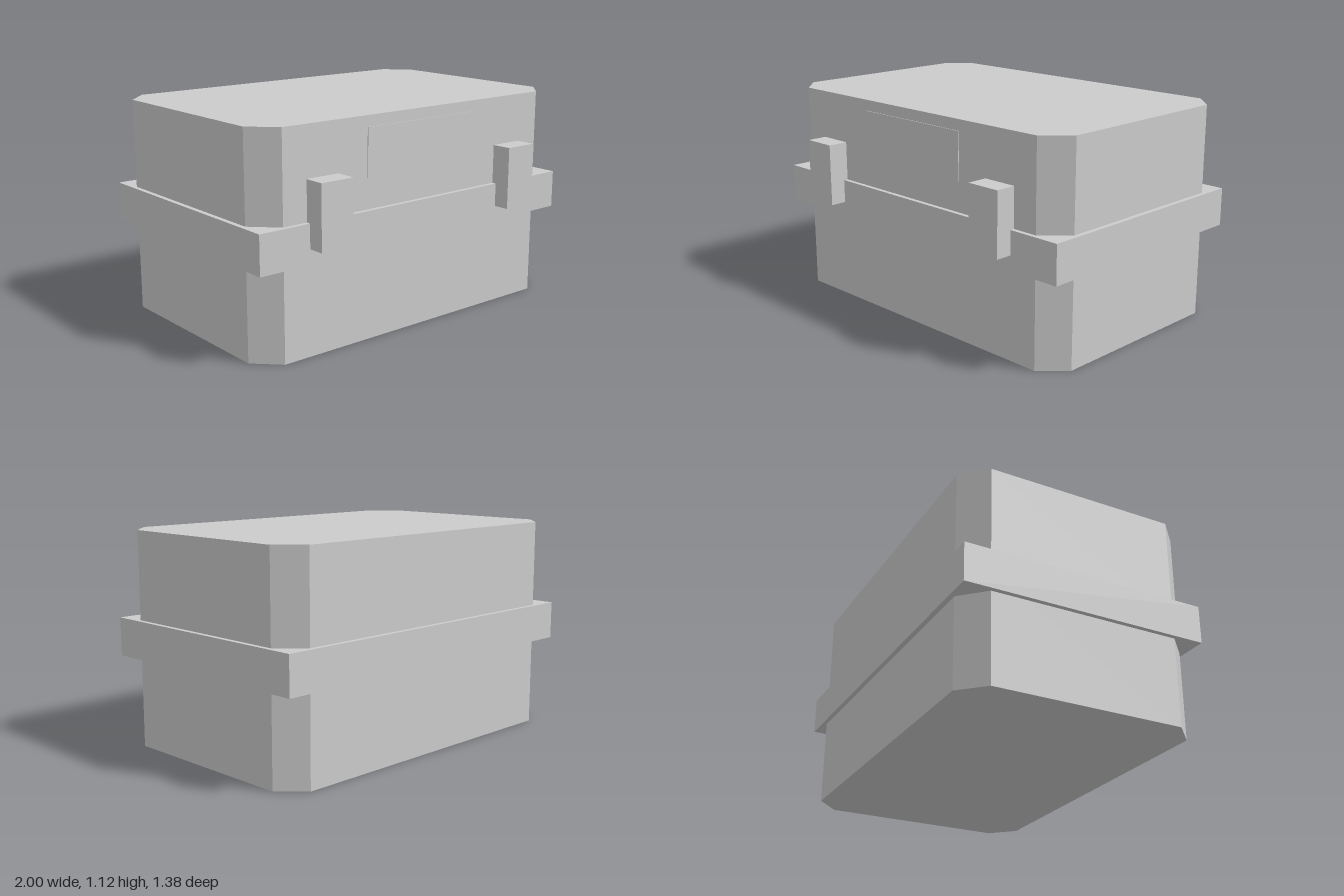
import * as THREE from 'three';

const BACK = -0.667, FRONT = 0.583, HALF_W = 0.975, CHAMFER = 0.123;

// Upright shell with chamfered vertical corners, from y0 to y1
function chamferedShell(y0, y1) {
  const zc = (FRONT + BACK) / 2, d = (FRONT - BACK) / 2, w = HALF_W, c = CHAMFER;
  const shape = new THREE.Shape([
    [w - c, -d], [w, -d + c], [w, d - c], [w - c, d],
    [-w + c, d], [-w, d - c], [-w, -d + c], [-w + c, -d],
  ].map(([x, y]) => new THREE.Vector2(x, y)));
  const geo = new THREE.ExtrudeGeometry(shape, { depth: y1 - y0, bevelEnabled: false });
  return geo.rotateX(-Math.PI / 2).translate(0, y0, zc);
}

// Box given by its lower and upper limits on each axis
function boxBetween([x0, x1], [y0, y1], [z0, z1]) {
  return new THREE.BoxGeometry(x1 - x0, y1 - y0, z1 - z0)
    .translate((x0 + x1) / 2, (y0 + y1) / 2, (z0 + z1) / 2);
}

export function createModel() {
  const model = new THREE.Group();
  model.name = 'case';
  const grey = new THREE.MeshStandardMaterial({ color: 0xcccccc, flatShading: true });
  grey.name = 'grey';

  const add = (name, geometry) => {
    const mesh = new THREE.Mesh(geometry, grey);
    mesh.name = name;
    model.add(mesh);
  };

  // Lower half and lid meet inside the rim band
  add('base', chamferedShell(0, 0.565));
  add('lid', chamferedShell(0.565, 1.125));
  add('rimBand', boxBetween([-1, 1], [0.465, 0.665], [-0.692, 0.606]));

  // Thin label plate on the front of the lid
  add('labelPlate', boxBetween([-0.35, 0.35], [0.82, 1.068], [FRONT - 0.004, FRONT + 0.004]));

  // Pair of front latches bridging the band and lid
  for (const [name, x] of [['leftLatch', 0.623], ['rightLatch', -0.623]]) {
    add(name, boxBetween([x - 0.093, x + 0.093], [0.542, 0.87], [FRONT - 0.004, 0.692]));
  }
  return model;
}
